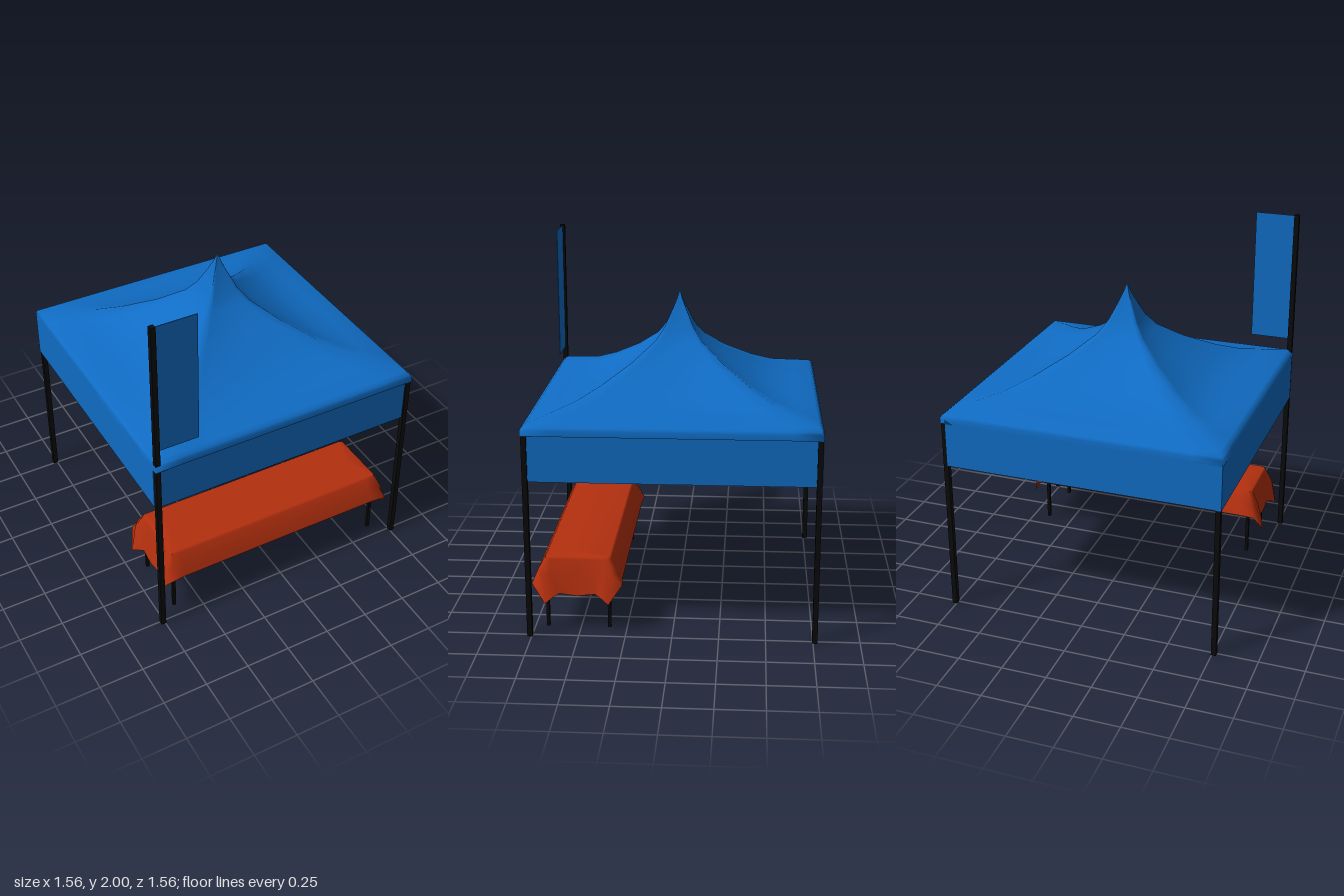
import * as THREE from 'three';

const blue = new THREE.MeshStandardMaterial({ color: 0x106cc4, side: THREE.DoubleSide });
const red = new THREE.MeshStandardMaterial({ color: 0xb4300f, side: THREE.DoubleSide });
const black = new THREE.MeshStandardMaterial({ color: 0x0a0a0a });

// Smooth surface through closed rings of [x, y, z], listed from the top outward
function skin(rings) {
  const n = rings[0].length, index = [];
  for (let r = 0; r < rings.length - 1; r++) {
    for (let i = 0; i < n; i++) {
      const j = (i + 1) % n, a = r * n, b = a + n;
      index.push(a + i, b + i, b + j, a + i, b + j, a + j);
    }
  }
  const geo = new THREE.BufferGeometry();
  geo.setAttribute('position', new THREE.Float32BufferAttribute(rings.flat(2), 3));
  geo.setIndex(index);
  geo.computeVertexNormals();
  return geo;
}

function createModel() {
  const model = new THREE.Group();
  const add = (name, geo, mat, x = 0, y = 0, z = 0) => {
    const mesh = new THREE.Mesh(geo, mat);
    mesh.name = name;
    mesh.position.set(x, y, z);
    model.add(mesh);
  };
  // Box given by its minimum and maximum corners
  const box = (name, mat, [x0, y0, z0], [x1, y1, z1]) =>
    add(name, new THREE.BoxGeometry(x1 - x0, y1 - y0, z1 - z0), mat,
      (x0 + x1) / 2, (y0 + y1) / 2, (z0 + z1) / 2);

  // Canopy: square rings swept down a peaked profile, sagging between the corner ridges
  const profile = [[0.001, 1.745], [0.015, 1.7], [0.035, 1.65], [0.08, 1.55], [0.13, 1.48], [0.25, 1.385],
    [0.4, 1.295], [0.52, 1.24], [0.64, 1.208], [0.75, 1.18], [0.77, 1.165], [0.778, 1.15], [0.778, 1.12]];
  const steps = 10;
  const canopy = profile.map(([r, h]) => {
    const ring = [];
    for (let side = 0; side < 4; side++) {
      const c = Math.round(Math.cos(side * Math.PI / 2)), s = Math.round(Math.sin(side * Math.PI / 2));
      for (let k = 0; k < steps; k++) {
        const t = -1 + 2 * k / steps;
        const sag = r < 0.75 ? 0.025 * Math.sin(Math.PI * r / 0.75) * (1 - t * t) : 0;
        ring.push([r * (c * t + s), h - sag, r * (c - s * t)]);
      }
    }
    return ring;
  });
  add('canopy', skin(canopy), blue);

  // Valances hanging between the poles
  box('frontValance', blue, [-0.75, 0.87, 0.76], [0.75, 1.15, 0.764]);
  box('leftValance', blue, [0.76, 0.87, -0.75], [0.764, 1.15, 0.75]);
  box('backValance', blue, [-0.777, 0.87, -0.778], [0.75, 1.15, -0.774]);
  box('rightValance', blue, [-0.778, 0.87, -0.777], [-0.774, 1.15, 0.75]);

  // Corner poles; the front right one rises to carry the flag
  for (const x of [-0.76, 0.76]) {
    for (const z of [-0.76, 0.76]) {
      const top = x < 0 && z > 0 ? 2 : 1.14;
      box('pole', black, [x - 0.014, 0, z - 0.014], [x + 0.014, top, z + 0.014]);
    }
  }
  box('flag', blue, [-0.75, 1.245, 0.758], [-0.522, 1.995, 0.762]);

  // Table
  const tableZ = 0.51;
  box('tableTop', black, [-0.655, 0.385, tableZ - 0.175], [0.655, 0.41, tableZ + 0.175]);
  for (const x of [-0.648, 0.648]) {
    for (const z of [-0.167, 0.167]) {
      box('tableLeg', black, [x - 0.009, 0.01, tableZ + z - 0.009], [x + 0.009, 0.39, tableZ + z + 0.009]);
    }
  }

  // Tablecloth: one quarter of each ring, from the middle of the long side to the middle of the end
  const edge = [[0, 0.418, 0.17], [0.6, 0.418, 0.17], [0.645, 0.418, 0.17], [0.66, 0.416, 0.16],
    [0.66, 0.416, 0.14], [0.66, 0.416, 0.1], [0.66, 0.416, 0]];
  const shoulder = edge.map(([x, y, z]) => [x * 1.01, y - 0.012, z * 1.06]);
  const middle = [[0, 0.35, 0.21], [0.6, 0.35, 0.21], [0.675, 0.345, 0.213], [0.702, 0.32, 0.195],
    [0.7, 0.33, 0.145], [0.682, 0.33, 0.11], [0.682, 0.33, 0]];
  const hem = [[0, 0.277, 0.235], [0.62, 0.275, 0.235], [0.7, 0.275, 0.243], [0.738, 0.175, 0.17],
    [0.725, 0.21, 0.125], [0.7, 0.22, 0.095], [0.705, 0.21, 0]];
  const spine = edge.map(([x]) => [x * 0.9, 0.42, 0]);
  const mirrored = (quarter) => {
    const half = [...quarter, ...quarter.slice(0, -1).reverse().map(([x, y, z]) => [x, y, -z])];
    return [...half, ...half.slice(1, -1).reverse().map(([x, y, z]) => [-x, y, z])];
  };
  add('tablecloth', skin([spine, edge, shoulder, middle, hem].map(mirrored)), red, 0, 0, tableZ);

  return model;
}

export { createModel };
